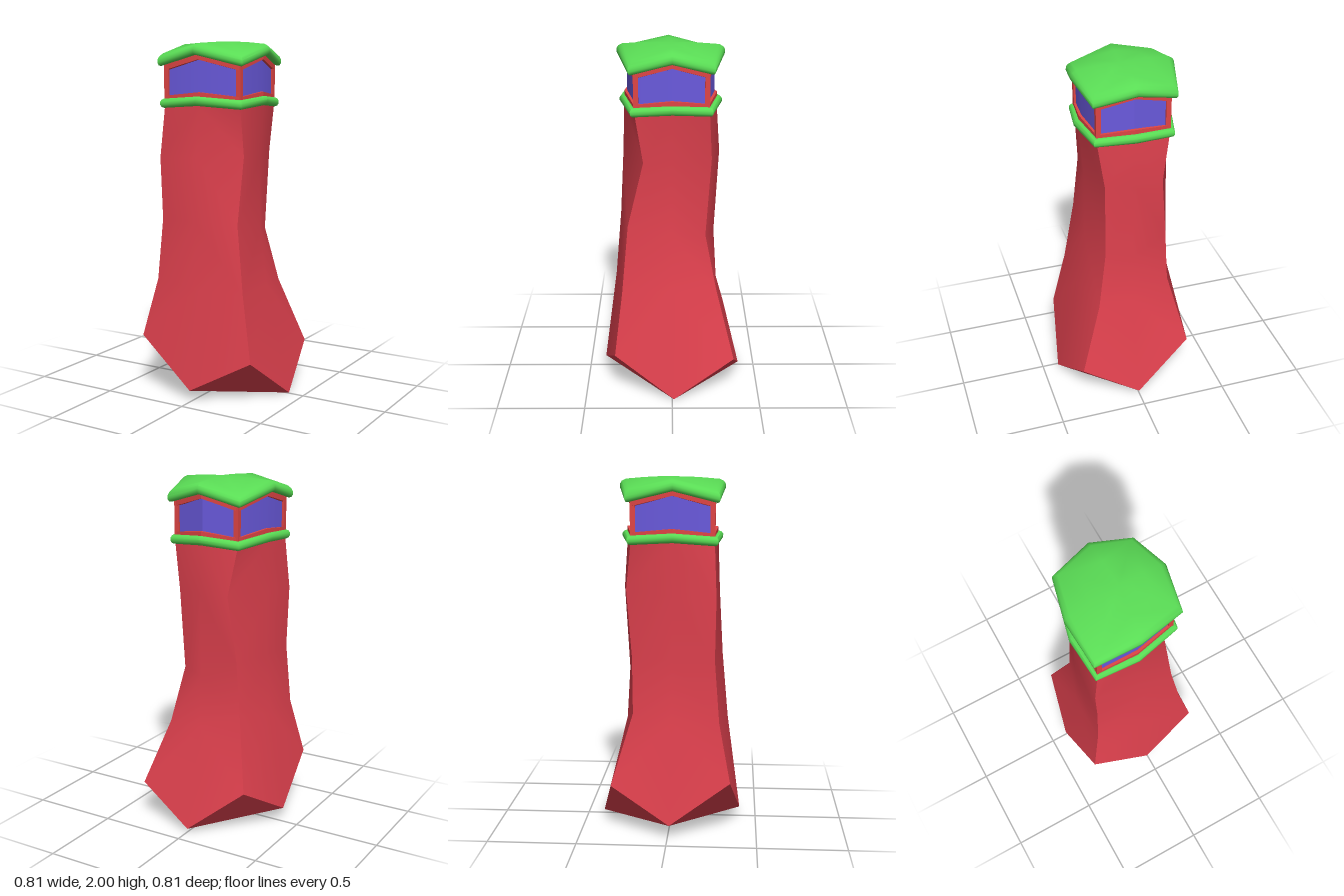
import * as THREE from 'three';
import { toCreasedNormals } from 'three/addons/utils/BufferGeometryUtils.js';

const paint = (name, color) => {
  const m = new THREE.MeshStandardMaterial({ color });
  m.name = name;
  return m;
};

// Each line runs from the foot to the neck as [x, y, z]; side middles and corners alternate.
const bodyLines = [
  [[-.01, .06, .405], [-.02, .62, .33], [-.03, 1, .297], [-.035, 1.36, .278], [-.035, 1.65, .268]],
  [[.34, .25, .33], [.265, .62, .285], [.21, 1, .25], [.198, 1.37, .16], [.2, 1.65, .205]],
  [[.405, 0, -.01], [.26, .62, 0], [.212, .95, 0], [.207, 1.36, 0], [.232, 1.65, 0]],
  [[.33, .22, -.355], [.2, .6, -.255], [.14, .92, -.19], [.15, 1.38, -.22], [.188, 1.65, -.205]],
  [[0, .02, -.405], [0, .6, -.26], [0, .9, -.242], [-.01, 1.38, -.268], [-.01, 1.65, -.25]],
  [[-.325, .28, -.325], [-.23, .68, -.205], [-.21, 1, -.21], [-.172, 1.38, -.244], [-.217, 1.65, -.212]],
  [[-.405, .08, .01], [-.3, .65, .02], [-.28, 1, .02], [-.285, 1.36, .02], [-.277, 1.65, .02]],
  [[-.365, .32, .35], [-.3, .65, .285], [-.28, 1, .258], [-.29, 1.35, .264], [-.262, 1.65, .252]],
];

// Outline of the lantern room, [x, z], in the same order.
const plan = [
  [-.035, .262], [.2, .205], [.225, 0], [.186, -.2],
  [-.01, -.247], [-.215, -.21], [-.27, .02], [-.26, .25],
];

// Skin a stack of eight-point rings, symmetric about each side middle.
function loft(rings, crease, extra = []) {
  const tris = [...extra];
  for (let i = 0; i < rings.length - 1; i++) {
    for (let j = 0; j < 8; j++) {
      const k = (j + 1) % 8;
      const [a, b, c, d] = [rings[i][j], rings[i][k], rings[i + 1][k], rings[i + 1][j]];
      tris.push(...(j % 2 ? [a, b, c, a, c, d] : [a, b, d, b, c, d]));
    }
  }
  const g = new THREE.BufferGeometry();
  g.setAttribute('position', new THREE.Float32BufferAttribute(tris.flat(), 3));
  return toCreasedNormals(g, crease);
}

// A lantern ring: pushed outward by d, corner height y, side middles raised by lift.
const planRing = ([d, y, lift, scale = 1]) => plan.map(([x, z], j) => {
  const s = scale * (1 + d / Math.hypot(x, z));
  return [x * s, y + (j % 2 ? 0 : lift), z * s];
});

export function createModel() {
  const red = paint('wall red', 0xdd404d);
  const frameRed = paint('frame red', 0xe04545);
  const green = paint('roof green', 0x5add55);
  const blue = paint('window blue', 0x6a5add);
  const model = new THREE.Group();
  model.name = 'tower';
  const add = (name, geometry, material) => {
    const mesh = new THREE.Mesh(geometry, material);
    mesh.name = name;
    model.add(mesh);
    return mesh;
  };
  const sweep = (name, profile, material, crease) =>
    add(name, loft(profile.map(planRing), crease), material);

  // Tower body, with cut corners and a four-sided base underneath
  const rings = [0, 1, 2, 3, 4].map(i => bodyLines.map(line => line[i]));
  const foot = rings[0];
  const under = [foot[0], foot[6], foot[4], foot[0], foot[4], foot[2]];
  for (let j = 1; j < 8; j += 2) under.push(foot[j], foot[j - 1], foot[(j + 1) % 8]);
  add('towerBody', loft(rings, 0.75, under), red);

  // Rounded belt below the windows
  const belt = [];
  for (let i = 0; i <= 10; i++) {
    const a = -Math.PI / 2 + i / 10 * Math.PI * 2;
    belt.push([.008 + .025 * Math.cos(a), 1.658 + .026 * Math.sin(a), .017]);
  }
  sweep('belt', belt, green, 0.7);

  // Window glass, one bent pane on each side
  sweep('windowGlass', [[-.012, 1.66, .02], [-.012, 1.88, .06]], blue, 0.3);

  // Sill and head rails of the window frame
  const rail = (name, y0, y1, lift0, lift1) => sweep(name, [
    [.004, y0, lift0], [.004, y1, lift1], [-.02, y1, lift1], [-.02, y0, lift0], [.004, y0, lift0],
  ], frameRed, 0.3);
  rail('windowSill', 1.65, 1.7, .02, .024);
  rail('windowHead', 1.842, 1.885, .06, .06);

  // Posts at the four corners
  for (let j = 1; j < 8; j += 2) {
    const [x, z] = plan[j];
    const post = add('cornerPost', new THREE.BoxGeometry(.028, .2, .028), frameRed);
    post.position.set(x - Math.sign(x) * .009, 1.775, z - Math.sign(z) * .009);
  }

  // Roof with a thick rounded eave that arches over each window
  sweep('roof', [
    [0, 1.88, .06, .3], [-.02, 1.88, .06], [.022, 1.865, .062], [.036, 1.868, .062],
    [.045, 1.882, .06], [.044, 1.9, .06], [.034, 1.918, .057], [.012, 1.935, .052],
    [0, 1.97, .026, .62], [0, 1.99, .01, .3], [0, 2, 0, .001],
  ], green, 0.8);

  return model;
}
